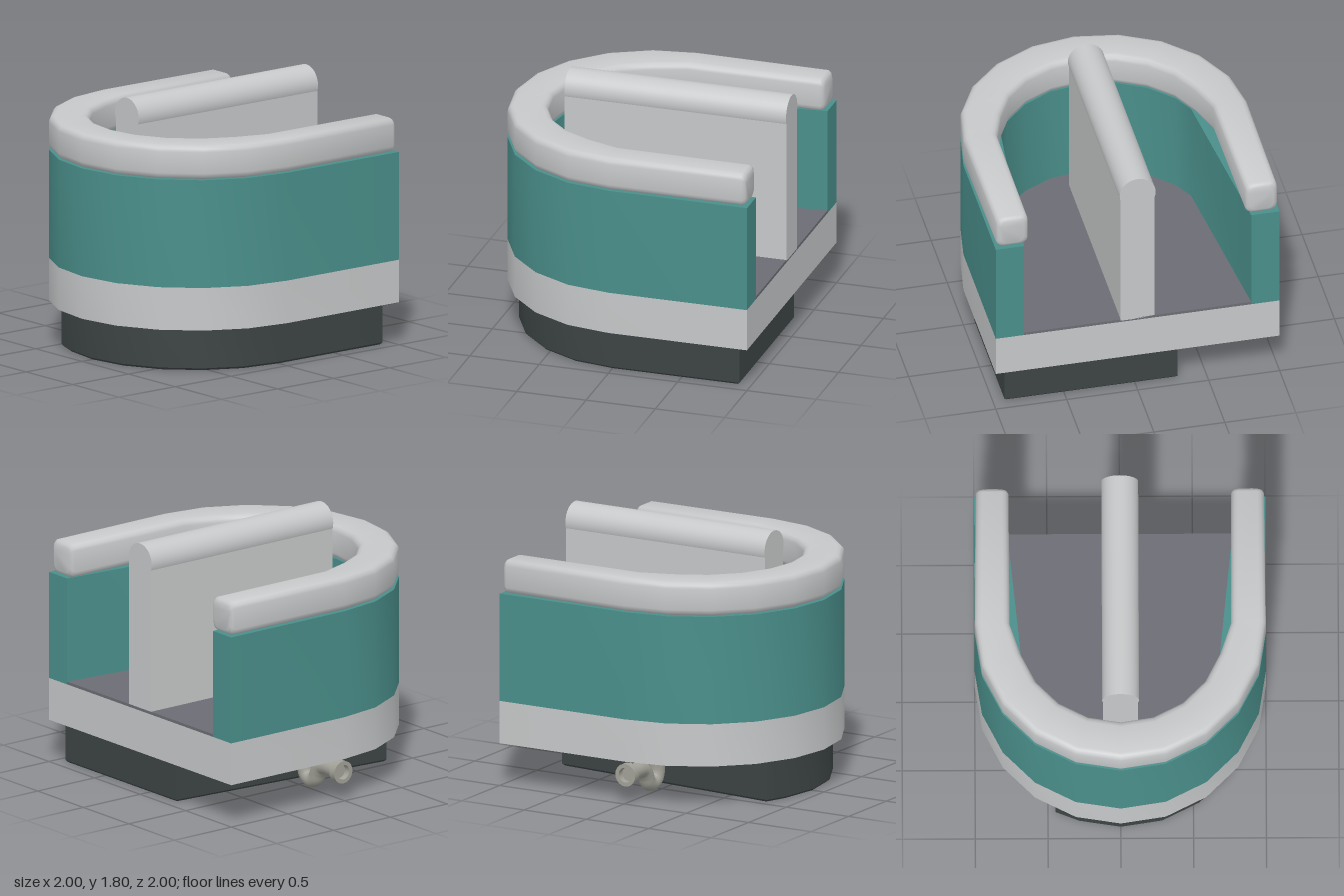
import * as THREE from 'three';
import { toCreasedNormals } from 'three/addons/utils/BufferGeometryUtils.js';

const mat = (name, color) => {
  const m = new THREE.MeshStandardMaterial({ color });
  m.name = name;
  return m;
};

// Points (x, z) of an arc around the closed -x end; t = 0 at +z, 180 at -z.
function arc(r, from, to, step = 18) {
  const pts = [];
  for (let t = from; t <= to; t += step) {
    const a = THREE.MathUtils.degToRad(t);
    pts.push([-r * Math.sin(a), r * Math.cos(a)]);
  }
  return pts;
}

// Upright prism over a plan outline in (x, z), with an optional small bevel.
function prism(plan, y0, y1, bevel = 0) {
  const shape = new THREE.Shape(plan.map(([x, z]) => new THREE.Vector2(x, -z)));
  const geo = new THREE.ExtrudeGeometry(shape, {
    depth: y1 - y0 - 2 * bevel, bevelEnabled: bevel > 0, bevelThickness: bevel,
    bevelSize: bevel, bevelOffset: -bevel, bevelSegments: 1,
  });
  geo.rotateX(-Math.PI / 2).translate(0, y0 + bevel, 0);
  return toCreasedNormals(geo, 0.5);
}

// Rounded rail swept round the U, one cross-section per station.
function railGeometry() {
  const stations = [];
  const end = (x, inset) => ({ x, t: 0, inner: 0.765 + inset, outer: 0.99 - inset, inset });
  const start = [end(0.985, 0.03), end(0.975, 0.01), end(0.955, 0)];
  stations.push(...start);
  for (let t = 0; t <= 180; t += 18) {
    const side = t === 0 || t === 180;
    stations.push({ x: 0, t, inner: side ? 0.76 : 0.72, outer: 1, inset: 0 });
  }
  stations.push(...start.slice().reverse().map((s) => ({ ...s, t: 180 })));

  const pos = [], idx = [], n = 16, bev = 0.045;
  for (const s of stations) {
    const a = THREE.MathUtils.degToRad(s.t);
    const w = (s.outer - s.inner) / 2, mid = (s.outer + s.inner) / 2, h = 0.12 - s.inset;
    for (let c = 0; c < 4; c++) {
      const su = c === 0 || c === 3 ? 1 : -1, sv = c < 2 ? 1 : -1;
      for (let k = 0; k < 4; k++) {
        const q = (c + k / 3) * Math.PI / 2;
        const u = mid + su * (w - bev) + bev * Math.cos(q);
        const v = 1.48 + sv * (h - bev) + bev * Math.sin(q);
        pos.push(s.x - u * Math.sin(a), v, u * Math.cos(a));
      }
    }
  }
  const last = (stations.length - 1) * n;
  for (let i = 0; i < last; i += n) {
    for (let j = 0; j < n; j++) {
      const k = (j + 1) % n;
      idx.push(i + j, i + k, i + n + k, i + j, i + n + k, i + n + j);
    }
  }
  for (let j = 1; j < n - 1; j++) {
    idx.push(0, j + 1, j, last, last + j, last + j + 1);
  }
  const geo = new THREE.BufferGeometry();
  geo.setAttribute('position', new THREE.Float32BufferAttribute(pos, 3));
  geo.setIndex(idx);
  return toCreasedNormals(geo, 0.8);
}

export function createModel() {
  const group = new THREE.Group();
  const grey = mat('light grey', 0xc6c8c9);
  const teal = mat('teal', 0x4a8f8b);
  const slate = mat('slate floor', 0x6c6d74);
  const black = mat('charcoal', 0x3d4444);
  const metal = mat('pipe grey', 0xa1a198);
  const add = (name, geo, material, parent = group) => {
    const mesh = new THREE.Mesh(geo, material);
    mesh.name = name;
    parent.add(mesh);
    return mesh;
  };

  // Plan outlines
  const outer = [[1, 1], ...arc(1, 0, 180), [1, -1]];
  const half = [[1, 0.8], [-0.29, 0.67], [-0.43, 0.595], [-0.595, 0.43], [-0.7, 0.228]];
  const inner = [...half, [-0.735, 0], ...half.map(([x, z]) => [x, -z]).reverse()];

  // Plinth, cut back on the pipe side
  const foot = [[0.92, 0.92], ...arc(0.92, 0, 108), [-0.81, -0.45], [0.92, -0.3]];
  add('plinth', prism(foot, 0, 0.3, 0.015), black);

  // Body
  add('base', prism(outer, 0.3, 0.6), grey);
  add('wall', prism([...outer, ...inner.slice().reverse()], 0.6, 1.36), teal);
  add('floor', prism(inner, 0.6, 0.62), slate);
  add('rail', railGeometry(), grey);

  // Central divider with a round cap
  const divider = new THREE.Group();
  divider.name = 'divider';
  group.add(divider);
  add('dividerPanel', new THREE.BoxGeometry(1.6, 1.06, 0.24).translate(0.2, 1.14, 0), grey, divider);
  const cap = new THREE.CylinderGeometry(0.127, 0.127, 1.6, 32).rotateZ(Math.PI / 2);
  add('dividerCap', cap.translate(0.2, 1.673, 0), grey, divider);

  // Drain trap under the base
  const drain = new THREE.Group();
  drain.name = 'drainPipe';
  group.add(drain);
  const path = [
    [0.3, -0.565], [0.22, -0.565], [0.14, -0.565], [0.09, -0.588], [0.07, -0.638], [0.09, -0.685],
    [0.14, -0.71], [0.185, -0.745], [0.2, -0.8], [0.2, -0.87], [0.2, -0.95],
  ].map(([y, z]) => new THREE.Vector3(0, y, z));
  add('trap', new THREE.TubeGeometry(new THREE.CatmullRomCurve3(path), 40, 0.056, 16), metal, drain);
  for (const [y, r, h] of [[0.29, 0.075, 0.02], [0.265, 0.064, 0.04], [0.23, 0.075, 0.045]]) {
    add('collar', new THREE.CylinderGeometry(r, r, h, 20).translate(0, y, -0.565), metal, drain);
  }
  // Open nut at the pipe end
  const nutProfile = [[0.05, 0], [0.08, 0], [0.08, 0.055], [0.052, 0.055], [0.05, 0]]
    .map(([x, y]) => new THREE.Vector2(x, y));
  const nut = new THREE.LatheGeometry(nutProfile, 20).rotateX(-Math.PI / 2);
  add('endNut', toCreasedNormals(nut.translate(0, 0.2, -0.93), 0.6), metal, drain);
  add('pipePlug', new THREE.CircleGeometry(0.055, 20).rotateY(Math.PI).translate(0, 0.2, -0.94), metal, drain);

  return group;
}
